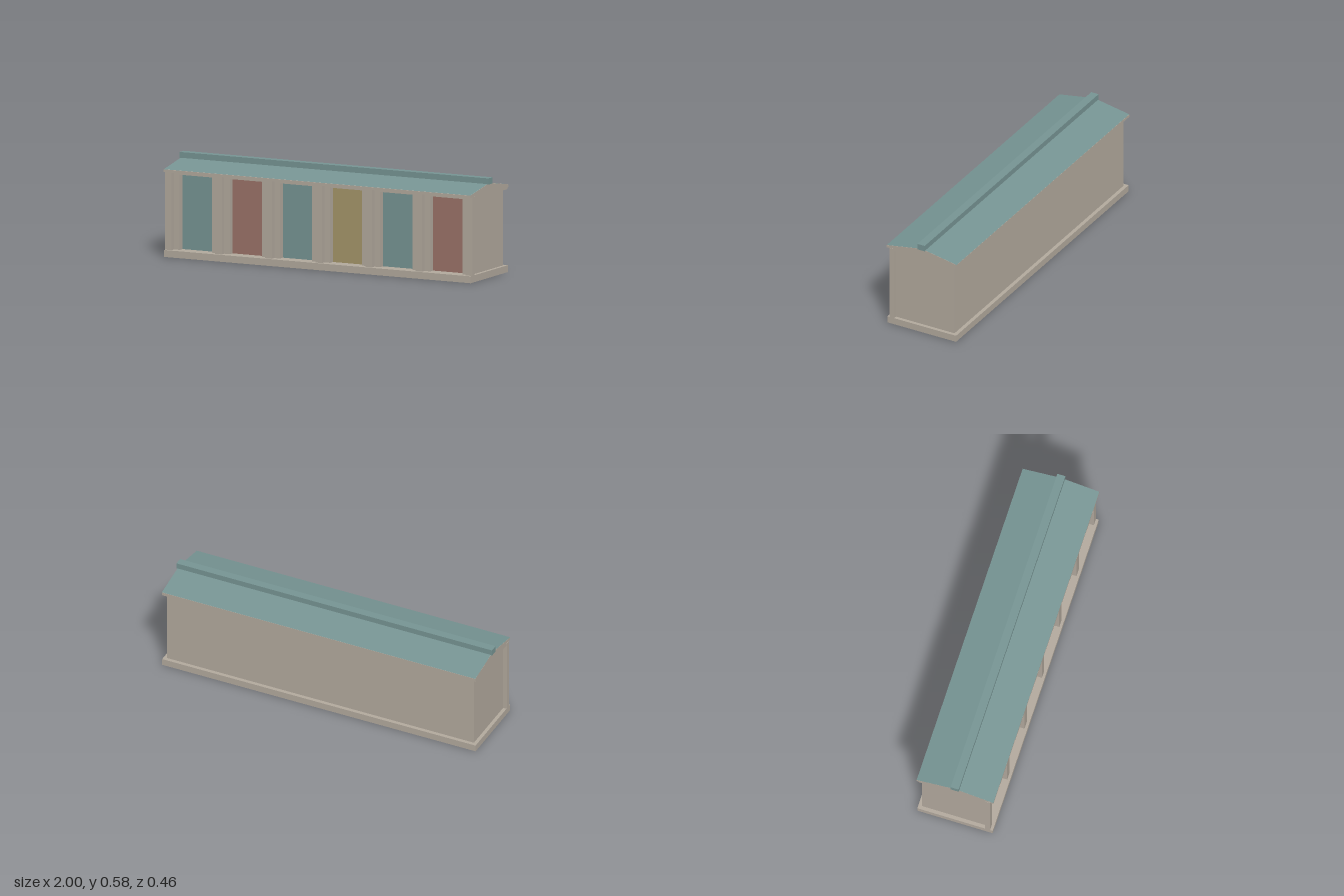
import * as THREE from 'three';

const paint = (name, hex) => {
  const m = new THREE.MeshStandardMaterial({ color: hex });
  m.name = name;
  return m;
};

export function createModel() {
  const beige = paint('beige wall', 0xb3aa9e);
  beige.side = THREE.DoubleSide; // the foundation is an open shell
  const teal = paint('teal', 0x779594);
  const red = paint('red door', 0x9b7369);
  const yellow = paint('yellow door', 0xa5966a);

  const group = new THREE.Group();
  const add = (name, geometry, material) => {
    const mesh = new THREE.Mesh(geometry, material);
    mesh.name = name;
    group.add(mesh);
    return mesh;
  };
  // box given by its limits on each axis
  const box = (name, x0, x1, y0, y1, z0, z1, material) => {
    const g = new THREE.BoxGeometry(x1 - x0, y1 - y0, z1 - z0);
    g.translate((x0 + x1) / 2, (y0 + y1) / 2, (z0 + z1) / 2);
    return add(name, g, material);
  };

  const pitch = 0.3245, doorHalf = 0.104, end = 0.972;
  const floor = 0.04, doorTop = 0.475, wallTop = 0.481;
  const wallFront = 0.181, recess = 0.142;

  // foundation: a hollow plinth, open underneath (bottom face left out)
  const plinth = box('foundation', -0.993, 0.993, 0, floor, -0.226, 0.226, beige).geometry;
  const faces = Array.from(plinth.index.array);
  faces.splice(18, 6);
  plinth.setIndex(faces);
  plinth.clearGroups();

  // main block
  box('mainBlock', -end, end, floor, wallTop, -0.204, recess, beige);
  box('doorHeader', -end, end, doorTop, wallTop, recess, wallFront, beige);

  // recessed doors
  const doorColours = [teal, red, teal, yellow, teal, red];
  doorColours.forEach((material, i) => {
    const x = (i - 2.5) * pitch;
    box('door', x - doorHalf, x + doorHalf, floor, doorTop, recess, recess + 0.004, material);
  });

  // wall piers between the doors, each with a pilaster in front
  for (let i = 0; i <= 6; i++) {
    const x = (i - 3) * pitch, half = pitch / 2 - doorHalf;
    box('pier', Math.max(x - half, -end), Math.min(x + half, end), floor, doorTop, recess, wallFront, beige);
    box('pilaster', x - 0.0215, x + 0.0215, floor, 0.495, wallFront, 0.21, beige);
  }

  // gabled roof body with stepped eaves, profile in (z, y)
  const profile = [
    [0.23, 0.491], [0.23, 0.507], [0, 0.548], [-0.23, 0.507], [-0.23, 0.491],
    [-0.22, 0.491], [-0.22, wallTop], [wallFront, wallTop], [wallFront, 0.495], [0.21, 0.495],
  ];
  const roof = new THREE.ExtrudeGeometry(
    new THREE.Shape(profile.map(([z, y]) => new THREE.Vector2(-z, y))),
    { depth: 1.986, bevelEnabled: false });
  roof.translate(0, 0, -0.993).rotateY(Math.PI / 2);
  add('roofBody', roof, beige);

  // coloured roof slopes, laid just above the body
  const rise = 0.041, run = 0.23;
  for (const side of [1, -1]) {
    const g = new THREE.PlaneGeometry(1.986, Math.hypot(rise, run));
    g.rotateX(-Math.PI / 2 + side * Math.atan2(rise, run));
    g.translate(0, 0.5285, side * run / 2);
    add('roofSlope', g, teal);
  }

  // ridge cap
  box('ridgeCap', -1, 1, 0.542, 0.578, -0.024, 0.024, teal);

  return group;
}
